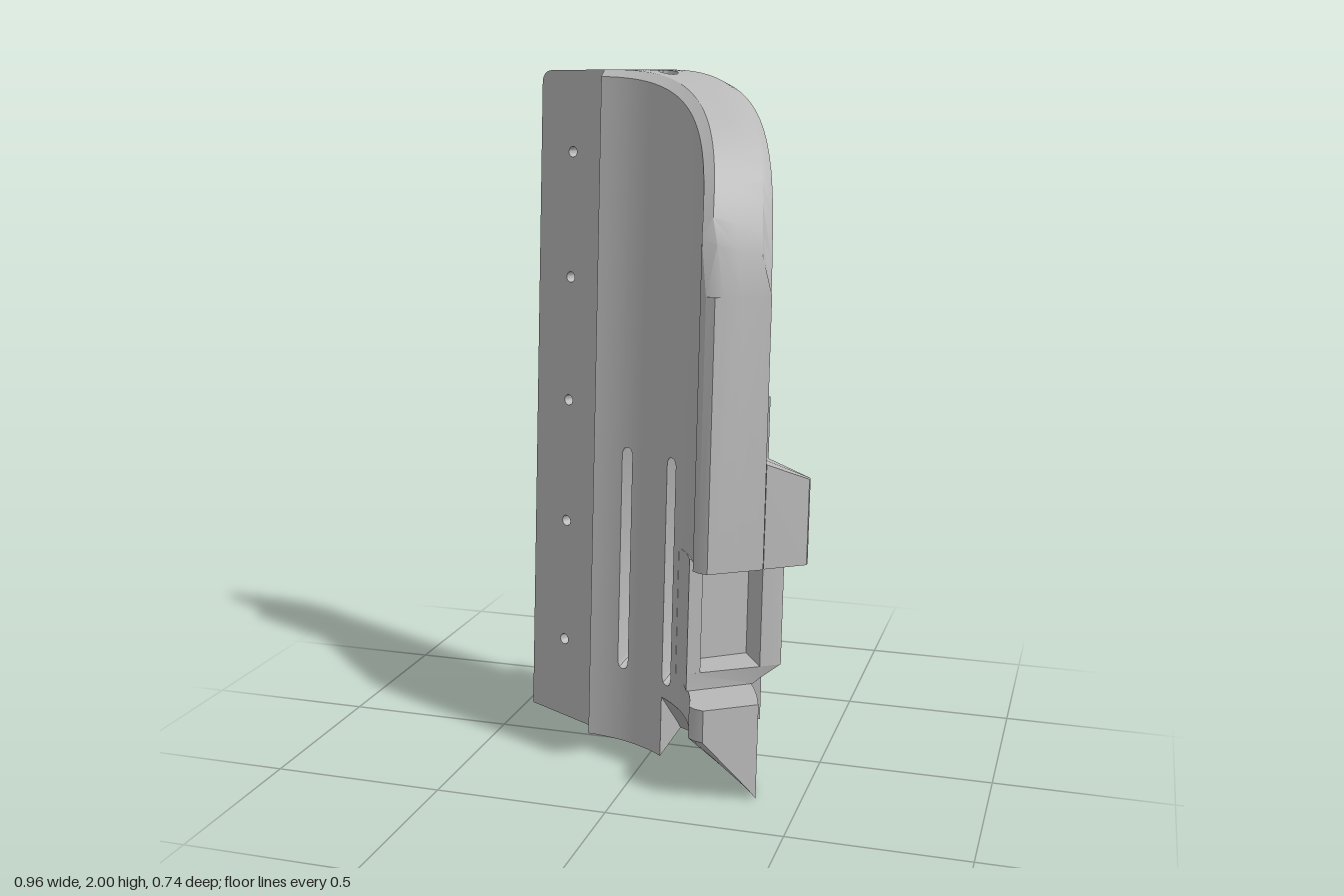
import * as THREE from 'three';
import { toCreasedNormals } from 'three/addons/utils/BufferGeometryUtils.js';

const LEAN = 0.085; // the whole panel leans back with height
const CZ = 0.44, R_IN = 0.45, R_OUT = 0.64, CX = -0.25;
const lerp = THREE.MathUtils.lerp;
const arc = (r, a) => [CX + r * Math.sin(a), CZ - r * Math.cos(a)];
const atX = (r, x) => [x, CZ - Math.sqrt(r * r - (x - CX) ** 2)];

function lean(geo) {
  const p = geo.attributes.position;
  for (let i = 0; i < p.count; i++) p.setZ(i, p.getZ(i) - LEAN * p.getY(i));
  return toCreasedNormals(geo, 0.5);
}

// Columns of the curved wall: inner and outer foot point, gap in height, undercut foot
function makeColumns() {
  const cols = [];
  const add = (inner, outer, lo = 0.55, hi = lo, cut = false) => cols.push({ inner, outer, lo, hi, cut, x: inner[0] });
  const addX = (x, lo, hi, cut) => add(atX(R_IN, x), atX(R_OUT, x), lo, hi, cut);
  const slot = (x0, x1, cutBefore, cutAfter) => {
    addX(x0, 0.55, 0.55, cutBefore);
    for (let i = 0; i <= 6; i++) {
      const s = i / 3 - 1, r = (x1 - x0) / 2 * Math.sqrt(1 - s * s);
      addX(lerp(x0, x1, i / 6), 0.24 - r, 0.88 + r, cutAfter);
    }
    addX(x1, 0.55, 0.55, cutAfter);
  };
  [-0.225, -0.2, -0.17, -0.145].forEach((x) => addX(x));
  slot(-0.13, -0.095, false, false);
  [-0.08, -0.068, -0.06, -0.047, -0.033, -0.019, -0.006, 0.002, 0.02].forEach((x) => addX(x));
  slot(0.035, 0.07, false, true);
  const fan = (k, lo, hi) => add(arc(R_IN, lerp(0.791, 1.4, k)), arc(R_OUT, lerp(0.524, 1.31, k)), lo, hi, true);
  fan(0.06);
  fan(0.12);
  for (let i = 0; i <= 14; i++) fan(lerp(0.12, 1, i / 14), 0.27, 0.65);
  add([0.213, 0.378], arc(R_OUT, 1.33), 0.27, 0.65, true);
  add([0.24, 0.385], [0.375, 0.295], 0.27, 0.65, true);
  return cols;
}

function curvedWall() {
  const cols = makeColumns(), out = [];
  const tri = (...v) => v.forEach((p) => out.push(...p));
  const quad = (a, b, c, d) => { tri(a, b, c); tri(a, c, d); };
  const pt = (c, w, y) => [lerp(c.inner[0], c.outer[0], w), y, lerp(c.inner[1], c.outer[1], w)];
  // rounded top corner, with softened edges
  const top = (c, w) => {
    const p = pt(c, w, 0), u = Math.max(0, 0.54 * p[0] + 0.84 * p[2] + 0.15);
    const r = w === 0 ? 0.58 : w === 1 ? 0.585 : 0.6;
    return 1.4 + Math.sqrt(Math.max(0, r * r - u * u));
  };
  const base = (c, w) => (!c.cut ? 0 : w < 0.85 ? lerp(0.18, 0.03, w / 0.85) : lerp(0.03, 0, (w - 0.85) / 0.15));
  const pocket = (c) => 0.16 * Math.sqrt(Math.max(0, 1 - ((c.x + 0.033) / 0.035) ** 2));
  const rows = (c) => [0, 0.15, 0.47 - pocket(c), 0.47 + pocket(c), 0.85, 1];
  const lo = (c) => c.lo, hi = (c) => c.hi;

  const cell = (a, b, bot, tp) => {
    const ra = rows(a), rb = rows(b);
    const P = (c, w, f) => pt(c, w, f(c, w));
    quad(P(a, 0, bot), P(b, 0, bot), P(b, 0, tp), P(a, 0, tp));
    quad(P(b, 1, bot), P(a, 1, bot), P(a, 1, tp), P(b, 1, tp));
    for (let i = 0; i < 5; i++) {
      const hole = i === 2 && tp === top && pocket(a) + pocket(b) > 0;
      const f = hole ? (c, w) => top(c, w) - 0.1 : tp;
      quad(P(a, ra[i], f), P(b, rb[i], f), P(b, rb[i + 1], f), P(a, ra[i + 1], f));
      quad(P(a, ra[i + 1], bot), P(b, rb[i + 1], bot), P(b, rb[i], bot), P(a, ra[i], bot));
      if (hole) { // sides of the pocket in the top
        quad(P(b, rb[2], f), P(a, ra[2], f), P(a, ra[2], tp), P(b, rb[2], tp));
        quad(P(a, ra[3], f), P(b, rb[3], f), P(b, rb[3], tp), P(a, ra[3], tp));
      }
    }
  };
  for (let j = 0; j < cols.length - 1; j++) {
    const a = cols[j], b = cols[j + 1];
    if (a.cut !== b.cut) { // step beside the undercut
      const ws = rows(a);
      for (let i = 0; i < 5; i++)
        quad(pt(a, ws[i], 0), pt(a, ws[i + 1], 0), pt(a, ws[i + 1], base(b, ws[i + 1])), pt(a, ws[i], base(b, ws[i])));
    }
    if (a.lo === a.hi && b.lo === b.hi) cell(a, b, base, top);
    else { cell(a, b, base, lo); cell(a, b, hi, top); }
  }
  // end faces
  const first = cols[0], last = cols[cols.length - 1];
  const face = (c, w0, w1, bot, tp) =>
    quad(pt(c, w0, bot(c, w0)), pt(c, w1, bot(c, w1)), pt(c, w1, tp(c, w1)), pt(c, w0, tp(c, w0)));
  const ws = rows(last);
  for (let i = 0; i < 5; i++) {
    face(last, ws[i], ws[i + 1], base, lo);
    face(last, ws[i], ws[i + 1], hi, top);
    face(first, ws[i + 1], ws[i], base, top);
  }
  const geo = new THREE.BufferGeometry();
  geo.setAttribute('position', new THREE.Float32BufferAttribute(out, 3));
  return lean(geo);
}

// Wedge flange with a row of slanted screw holes
function flange() {
  const s = new THREE.Shape();
  s.moveTo(-0.48, 0);
  s.lineTo(-0.225, 0);
  s.lineTo(-0.225, 2);
  s.lineTo(-0.44, 2);
  s.quadraticCurveTo(-0.48, 2, -0.48, 1.96);
  for (let i = 0; i < 5; i++) {
    const h = new THREE.Path();
    h.absarc(-0.352, 0.245 + i * 0.378, 0.016, 0, Math.PI * 2, true);
    s.holes.push(h);
  }
  const geo = new THREE.ExtrudeGeometry(s, { depth: 1, bevelEnabled: false, curveSegments: 10 });
  const p = geo.attributes.position;
  for (let i = 0; i < p.count; i++) {
    const x = p.getX(i), back = p.getZ(i) < 0.5;
    p.setZ(i, back ? -0.2 : -0.2 + 0.55 * (x + 0.48));
    if (back && x > -0.4 && x < -0.3) p.setX(i, x + 0.04);
  }
  return lean(geo);
}

// Upright prism from a plan outline; taper draws one end in to the wall
function prism(plan, y0, y1, taper) {
  const s = new THREE.Shape(plan.map(([x, z]) => new THREE.Vector2(x, -z)));
  const geo = new THREE.ExtrudeGeometry(s, { depth: y1 - y0, bevelEnabled: false });
  geo.rotateX(-Math.PI / 2).translate(0, y0, 0);
  const p = geo.attributes.position, yT = taper === 'top' ? y1 : y0;
  for (let i = 0; taper && i < p.count; i++) {
    const dx = p.getX(i) - CX, dz = p.getZ(i) - CZ, r = Math.hypot(dx, dz);
    if (Math.abs(p.getY(i) - yT) < 1e-4 && r > 0.645) {
      p.setX(i, CX + dx * 0.645 / r);
      p.setZ(i, CZ + dz * 0.645 / r);
    }
  }
  return lean(geo);
}

export function createModel() {
  const group = new THREE.Group();
  const grey = new THREE.MeshStandardMaterial({ color: 0xb8b8b8 });
  grey.name = 'plain grey';
  const add = (name, geo) => {
    const m = new THREE.Mesh(geo, grey);
    m.name = name;
    group.add(m);
  };
  add('curvedWall', curvedWall());
  add('screwFlange', flange());

  // Housing on the outside of the wall
  const upper = [[0.15, -0.05], [0.2, -0.105], [0.235, -0.1], [0.48, 0.2], [0.48, 0.215], [0.375, 0.29], [0.34, 0.2], [0.28, 0.07], [0.2, 0]];
  add('housingTop', prism(upper, 0.65, 0.89));
  add('housingShoulder', prism(upper, 0.89, 0.94, 'top'));
  const outside = [[0.122, -0.08], [0.165, -0.05], [0.2, -0.105], [0.235, -0.1], [0.393, 0.1], [0.382, 0.111]];
  const inside = [[0.155, 0.257], [0.13, 0.2], [0.093, 0.148]];
  const recess = [[0.34, 0.138], [0.275, 0.037], [0.135, 0.14], [0.189, 0.235]];
  add('housingFoot', prism([...outside, ...inside], 0.27, 0.32, 'bottom'));
  add('housingPocket', prism([...outside, ...recess, ...inside], 0.32, 0.65));

  // Narrow rail along the back edge of the housing
  const rail = [[0.15, -0.05], [0.2, -0.105], [0.235, -0.1], [0.315, 0], [0.25, 0.02]];
  add('railTop', prism(rail, 0.88, 1.07));
  add('railBottom', prism(rail, 0.11, 0.3));
  return group;
}
